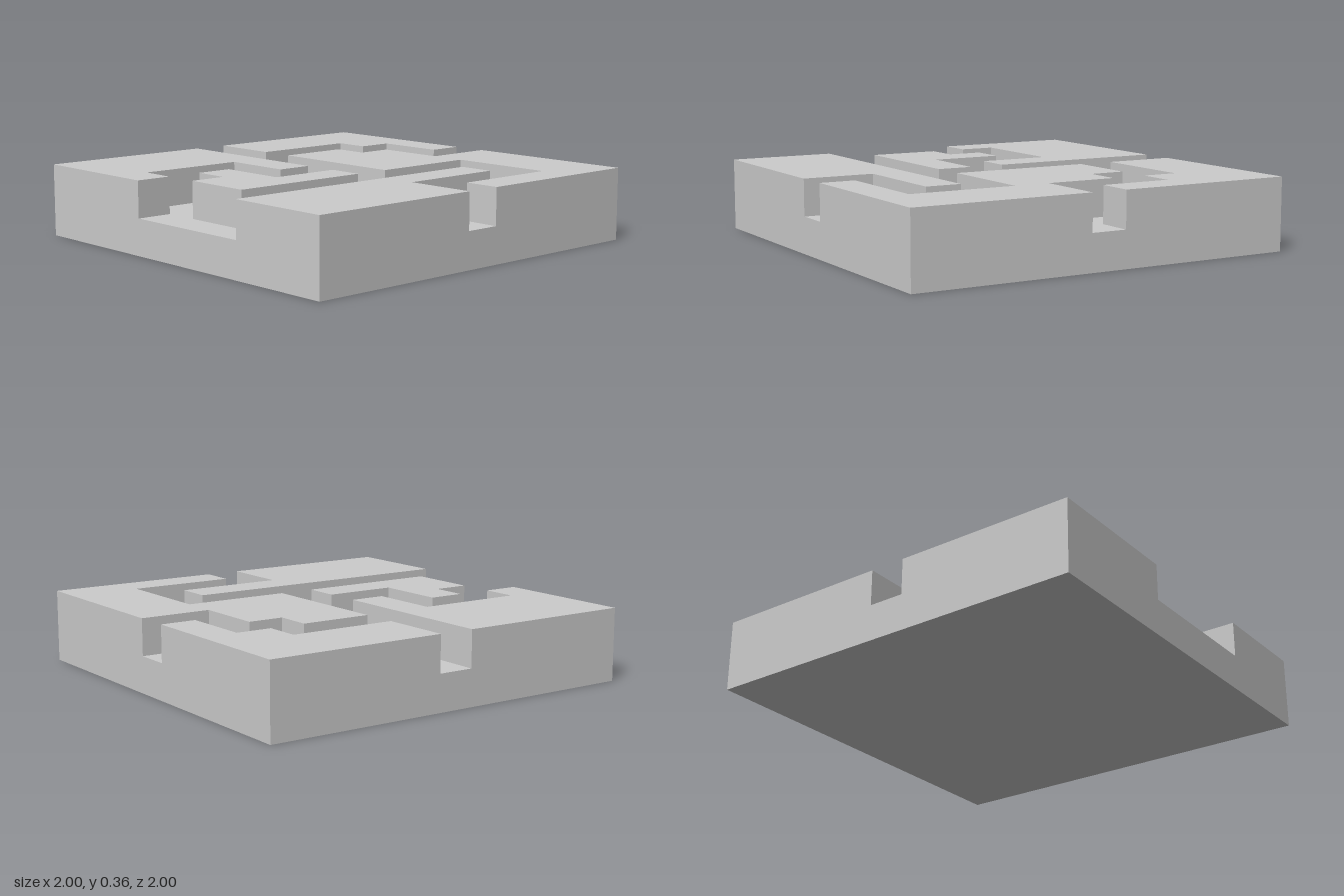
import * as THREE from 'three';

// The tile is an 11 x 11 grid of cells, two cells high, with a path one cell deep.
const CELLS = 11;
const CELL = 2 / CELLS;

// Outlines of the raised blocks as [column, row] grid corners; row 0 is the back.
const BLOCKS = {
  backRightBlock: [[0, 0], [5, 0], [5, 1], [3, 1], [3, 2], [2, 2], [2, 5], [0, 5]],
  backLeftBlock: [[6, 0], [11, 0], [11, 5], [10, 5], [10, 2], [7, 2], [7, 5], [3, 5], [3, 3], [4, 3], [4, 2], [6, 2]],
  frontLeftBlock: [[8, 3], [9, 3], [9, 6], [11, 6], [11, 11], [8, 11]],
  frontRightBlock: [[0, 6], [5, 6], [5, 7], [3, 7], [3, 10], [4, 10], [4, 11], [0, 11]],
  islandBlock: [[6, 6], [7, 6], [7, 10], [5, 10], [5, 9], [4, 9], [4, 8], [6, 8]],
};

// Extrudes a grid outline upwards by one cell.
function blockGeometry(corners) {
  const points = corners.map(([col, row]) => new THREE.Vector2(col * CELL - 1, 1 - row * CELL));
  const geometry = new THREE.ExtrudeGeometry(new THREE.Shape(points), { depth: CELL, bevelEnabled: false });
  return geometry.rotateX(-Math.PI / 2);
}

export function createModel() {
  const group = new THREE.Group();
  group.name = 'mazeTile';
  const material = new THREE.MeshStandardMaterial({ color: 0xcccccc, flatShading: true });

  // Base slab, whose top is the floor of the path
  const base = new THREE.Mesh(new THREE.BoxGeometry(2, CELL, 2), material);
  base.name = 'baseSlab';
  base.position.y = CELL / 2;
  group.add(base);

  // Raised blocks that form the walls of the path
  for (const [name, corners] of Object.entries(BLOCKS)) {
    const block = new THREE.Mesh(blockGeometry(corners), material);
    block.name = name;
    block.position.y = CELL;
    group.add(block);
  }
  return group;
}
